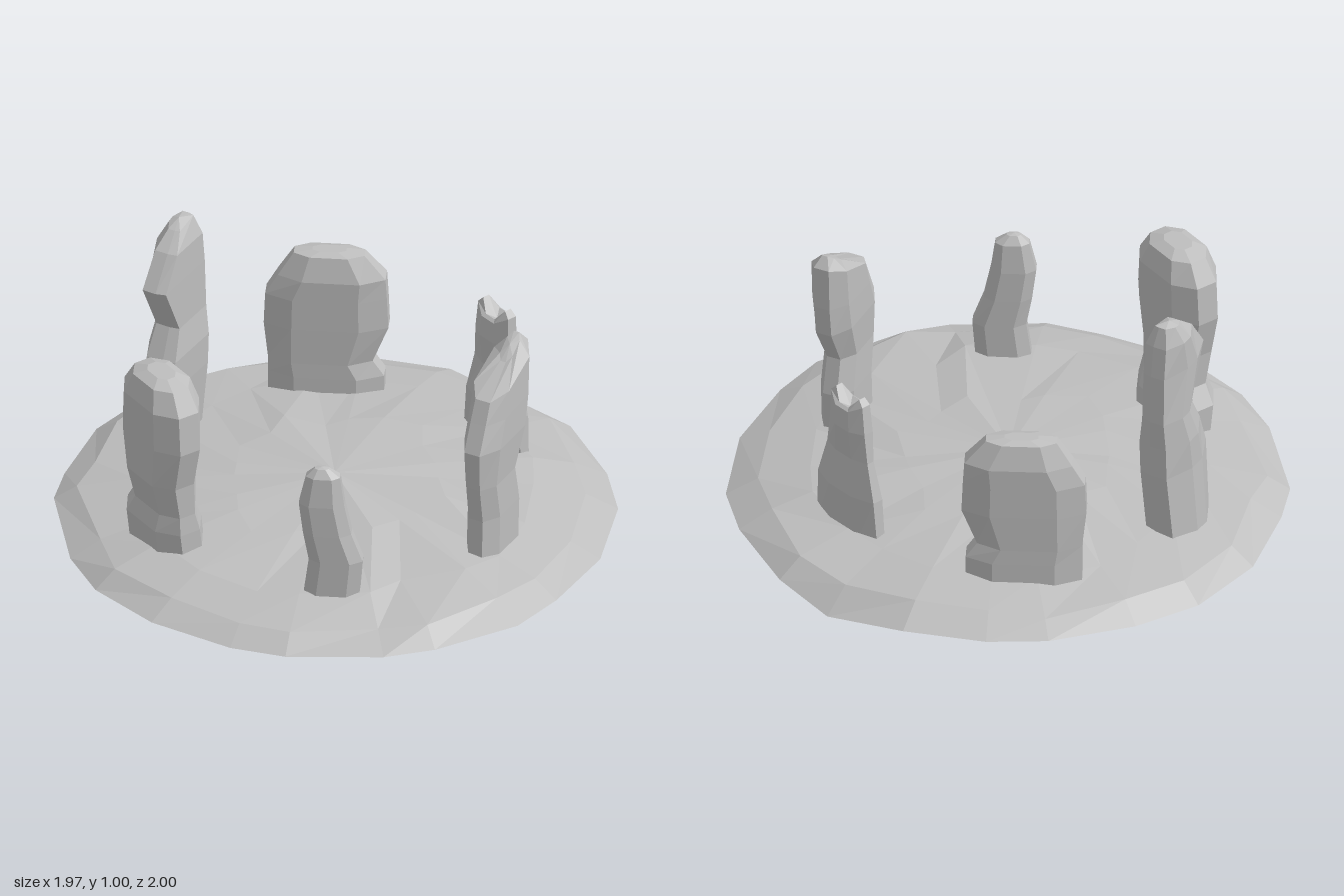
import * as THREE from 'three';

const stoneGrey = new THREE.MeshStandardMaterial({ color: 0xbebebe });
stoneGrey.name = 'stone grey';

// Joins rings of points (counterclockwise from above, bottom to top) into a closed faceted solid
function loft(name, rings, topY) {
  const pos = [];
  const n = rings[0].length;
  const tri = (a, b, c) => pos.push(...a, ...b, ...c);
  const middle = (ring) => [0, 1, 2].map((k) => ring.reduce((sum, p) => sum + p[k], 0) / n);
  const last = rings[rings.length - 1];
  const bottom = middle(rings[0]);
  const top = middle(last);
  top[1] = topY;
  for (let i = 0; i < n; i++) {
    const j = (i + 1) % n;
    tri(rings[0][j], rings[0][i], bottom);
    for (let r = 0; r + 1 < rings.length; r++) {
      const a = rings[r], b = rings[r + 1];
      tri(a[i], a[j], b[j]);
      tri(a[i], b[j], b[i]);
    }
    tri(last[i], last[j], top);
  }
  const geometry = new THREE.BufferGeometry();
  geometry.setAttribute('position', new THREE.Float32BufferAttribute(pos, 3));
  geometry.computeVertexNormals(); // unshared corners give flat facets
  const mesh = new THREE.Mesh(geometry, stoneGrey);
  mesh.name = name;
  return mesh;
}

// A standing slab with an eight-sided chamfered section.
// yaw turns its width away from +x; thick is half its thickness, thinning where the
// width falls under taper times the widest row; foot shifts the base across the thickness;
// front and back are the shares of the width left flat on the two broad faces.
// rows: [y, width offset, half width, tilt, end lift, thinning]
function stone(name, { x, z, yaw, thick, topY, taper = 0.85, foot = 0, front = 0.54, back = 0.54 }, rows) {
  const dx = Math.cos(yaw), dz = -Math.sin(yaw);
  const widest = Math.max(...rows.map((row) => row[2]));
  const rings = rows.map(([y, offset, half, tilt = 0, lift = 0, thin = 1]) => {
    const halfThick = thick * thin * Math.min(1, half / (taper * widest));
    const shift = foot * Math.max(0, 1 - y / 0.42);
    const ring = [];
    for (let i = 0; i < 8; i++) {
      const angle = ((i + 0.5) * Math.PI) / 4;
      const c = Math.cos(angle), s = Math.sin(angle);
      const along = Math.sign(c) * (Math.abs(c) > 0.7 ? 1 : s < 0 ? front : back);
      const across = Math.abs(s) > 0.7 ? Math.sign(s) : s * 1.1;
      const u = offset + along * half, w = shift + across * halfThick;
      ring.push([x + dx * u + dz * w, y + tilt * along + lift * Math.abs(along), z + dz * u - dx * w]);
    }
    return ring;
  });
  return loft(name, rings, topY);
}

// Low earth disc with an irregular rim
function mound() {
  const sides = 22;
  let seed = 7;
  const noise = () => ((seed = (seed * 16807) % 2147483647) / 2147483647) * 2 - 1;
  const rim = [];
  for (let i = 0; i < sides; i++) {
    const fixed = i % 11 === 0 || i === 6 || i === 16; // keep the four outermost corners
    const angle = (i / sides) * Math.PI * 2 + (fixed ? 0 : noise() * 0.07);
    const radius = 1 - 0.008 * Math.abs(Math.sin(angle)) - (fixed ? 0 : Math.abs(noise()) * 0.02);
    rim.push([Math.sin(angle) * radius, Math.cos(angle) * radius]);
  }
  // Each level: [scale of rim, height, sideways wobble, height wobble]
  const levels = [[0.96, 0.02, 0, 0], [1, 0.037, 0, 0.008], [0.9, 0.093, 0.025, 0.01],
    [0.7, 0.135, 0.05, 0.009], [0.4, 0.172, 0.06, 0.009]];
  const rings = levels.map(([scale, y, side, up]) =>
    rim.map(([x, z]) => {
      const s = scale + noise() * side;
      return [x * s, y + noise() * up, z * s];
    }));
  rings[1][6][1] = 0; // the rim dips to the ground on one side
  return loft('mound', rings, 0.19);
}

export function createModel() {
  const group = new THREE.Group();
  group.name = 'stoneCircle';
  group.add(mound());

  group.add(stone('roundedLeftStone',
    { x: -0.685, z: -0.135, yaw: -1.67, thick: 0.098, topY: 0.83, foot: 0.05 },
    [[0.08, -0.02, 0.165], [0.22, -0.02, 0.165], [0.29, 0, 0.14, 0, 0, 0.85], [0.42, 0, 0.145],
      [0.58, 0, 0.18], [0.73, 0, 0.17], [0.81, 0, 0.12], [0.83, 0, 0.06]]));

  group.add(stone('tallBackStone',
    { x: -0.225, z: -0.64, yaw: 0.34, thick: 0.078, topY: 1, foot: 0.03, front: 0.92, back: 0.25 },
    [[0.08, 0, 0.13], [0.38, 0, 0.145], [0.5, 0.02, 0.125], [0.61, 0.05, 0.1],
      [0.8, 0, 0.145, 0, 0, 0.8], [0.92, 0.035, 0.095], [0.985, 0.06, 0.05, 0.01]]));

  group.add(stone('broadBackStone',
    { x: 0.4, z: -0.53, yaw: -Math.PI / 4, thick: 0.075, topY: 0.7 },
    [[0.08, 0, 0.205], [0.2, 0, 0.205], [0.26, -0.02, 0.185], [0.4, 0, 0.22],
      [0.52, 0, 0.215], [0.6, 0.02, 0.19], [0.69, 0.01, 0.125], [0.7, 0.01, 0.06]]));

  // The end lift leaves a notch between two prongs
  group.add(stone('notchedRightStone',
    { x: 0.65, z: 0.11, yaw: -Math.PI / 2, thick: 0.05, topY: 0.62, taper: 0.6, foot: -0.01, back: 0.4, front: 0.4 },
    [[0.06, 0, 0.16, 0, 0, 0.85], [0.28, 0, 0.145], [0.43, -0.005, 0.105, 0, 0, 0.7], [0.55, -0.01, 0.09],
      [0.61, -0.005, 0.082, 0, 0.05], [0.61, -0.005, 0.06, 0, 0.073]]));

  group.add(stone('slantedFrontStone',
    { x: 0.22, z: 0.61, yaw: 0.38, thick: 0.072, topY: 0.875 },
    [[0.08, -0.02, 0.13], [0.28, -0.01, 0.13], [0.42, -0.035, 0.125], [0.57, 0, 0.17],
      [0.68, 0.03, 0.155, 0.01], [0.805, 0.05, 0.14, 0.055], [0.865, 0.11, 0.05, 0.035]]));

  group.add(stone('smallFrontStone',
    { x: -0.445, z: 0.505, yaw: -Math.PI / 4, thick: 0.05, topY: 0.645 },
    [[0.08, 0, 0.1], [0.27, 0.02, 0.095], [0.38, -0.01, 0.085], [0.5, -0.03, 0.08],
      [0.61, -0.025, 0.06], [0.64, -0.03, 0.025]]));

  return group;
}
